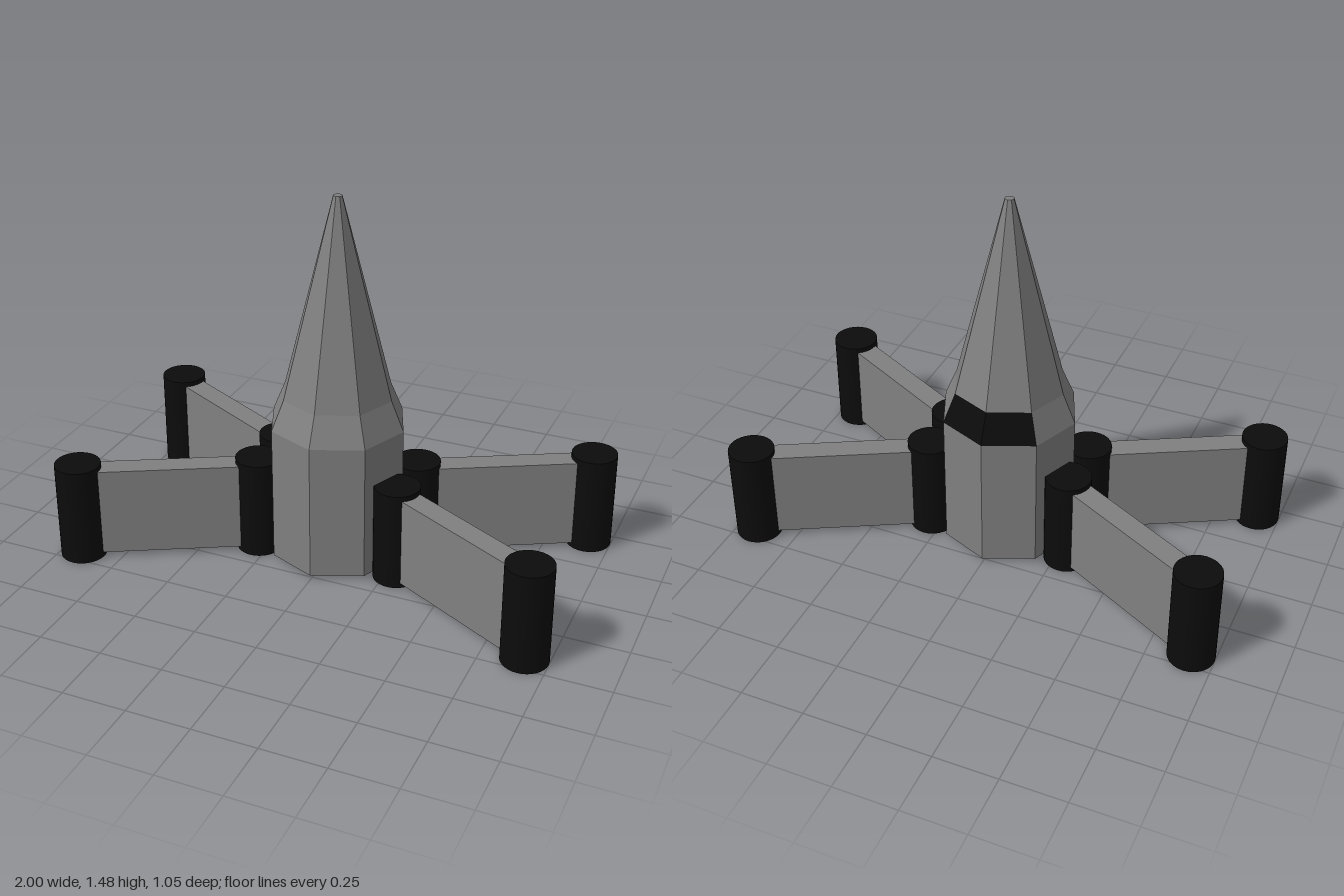
import * as THREE from 'three';

const GREY = 0x808080, BLACK = 0x0c0c0c;
const hullMat = new THREE.MeshStandardMaterial({ color: GREY, flatShading: true });
const windowMat = new THREE.MeshStandardMaterial({ color: BLACK, flatShading: true });
const tubeMat = new THREE.MeshStandardMaterial({ color: BLACK });

const BASE = 0.02, SHOULDER = 0.57, NECK = 0.69, TIP = 1.475;
const R_BASE = 0.271, R_NECK = 0.221, R_TIP = 0.018;

function add(parent, name, geometry, material) {
  const mesh = new THREE.Mesh(geometry, material);
  mesh.name = name;
  parent.add(mesh);
  return mesh;
}

// Octagonal shell from a [radius, height] profile; can cover only some of the 8 sides
function octagon(profile, sides = 8, start = 0) {
  const points = profile.map(([r, y]) => new THREE.Vector2(r, y));
  return new THREE.LatheGeometry(points, sides, start * Math.PI / 4, sides * Math.PI / 4);
}

function createWing(sx, sz) {
  const wing = new THREE.Group();
  wing.name = 'wing';
  const inner = new THREE.Vector2(0.291 * sx, 0.109 * sz);
  const outer = new THREE.Vector2(0.91 * sx, 0.435 * sz);
  const span = outer.clone().sub(inner);

  // Upright round tubes at both ends of the panel
  for (const [name, p] of [['innerTube', inner], ['outerTube', outer]]) {
    const tube = add(wing, name, new THREE.CylinderGeometry(0.09, 0.09, 0.4, 32), tubeMat);
    tube.position.set(p.x, 0.2, p.y);
  }

  // Flat panel joining the tubes
  const panel = add(wing, 'wingPanel', new THREE.BoxGeometry(span.length(), 0.36, 0.09), hullMat);
  panel.position.set((inner.x + outer.x) / 2, 0.2, (inner.y + outer.y) / 2);
  panel.rotation.y = -Math.atan2(span.y, span.x);
  return wing;
}

export function createModel() {
  const model = new THREE.Group();
  model.name = 'rocketShip';

  // Hull: closed base, shoulder band and long tapering nose
  const band = [[R_BASE, SHOULDER], [R_NECK, NECK]];
  add(model, 'lowerHull', octagon([[0, BASE], [R_BASE, BASE], [R_BASE, SHOULDER]]), hullMat);
  add(model, 'shoulder', octagon(band, 6, 5), hullMat);
  add(model, 'nose', octagon([[R_NECK, NECK], [R_TIP, TIP], [0, TIP]]), hullMat);

  // Dark window over the two back sides of the shoulder
  add(model, 'window', octagon(band, 2, 3), windowMat);

  // Four wings in an X
  for (const sx of [-1, 1]) for (const sz of [-1, 1]) model.add(createWing(sx, sz));
  return model;
}
